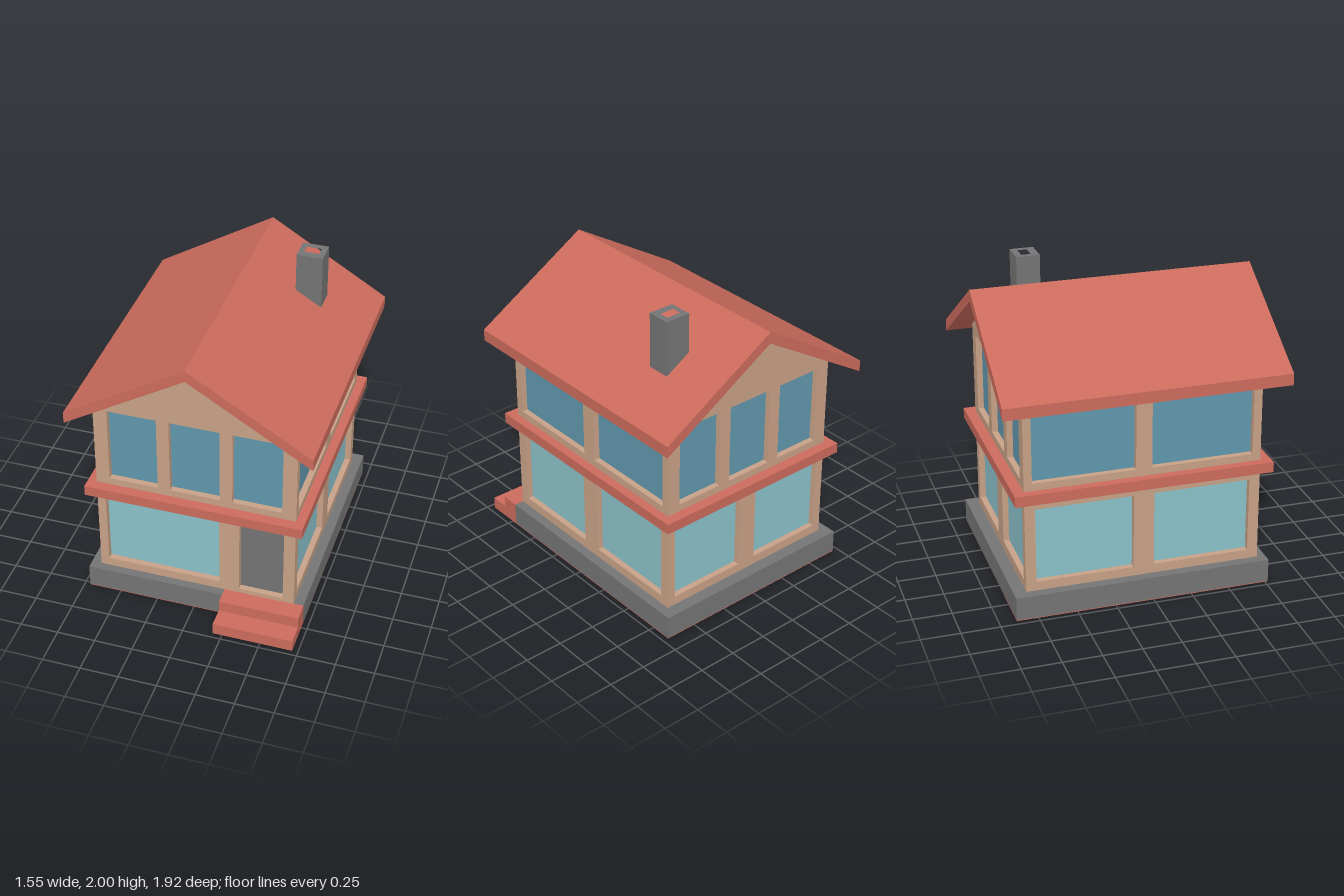
import * as THREE from 'three';

const mat = (name, color) => {
  const m = new THREE.MeshStandardMaterial({ color });
  m.name = name;
  return m;
};

export function createModel() {
  const house = new THREE.Group();
  house.name = 'house';
  const red = mat('roofRed', 0xcb6b5c);
  const tan = mat('wallTan', 0xc8a187);
  const gray = mat('stoneGray', 0x747474);
  const upperGlass = mat('upperGlass', 0x6197ad);
  const lowerGlass = mat('lowerGlass', 0x8ac1c9);

  const add = (parent, name, geo, material) => {
    const m = new THREE.Mesh(geo, material);
    m.name = name;
    parent.add(m);
    return m;
  };
  // Box given by its limits on each axis
  const box = (parent, name, material, [x0, x1], [y0, y1], [z0, z1]) => {
    const m = add(parent, name, new THREE.BoxGeometry(x1 - x0, y1 - y0, z1 - z0), material);
    m.position.set((x0 + x1) / 2, (y0 + y1) / 2, (z0 + z1) / 2);
    return m;
  };
  const poly = (pts) => new THREE.Shape(pts.map((p) => new THREE.Vector2(...p)));
  const rect = (x0, x1, y0, y1) => [[x0, y0], [x1, y0], [x1, y1], [x0, y1]];
  const extrude = (shape, depth) => new THREE.ExtrudeGeometry(shape, { depth, bevelEnabled: false });
  // Plan outline (x, z) raised from y0 to y1
  const slab = (name, material, outline, y0, y1, hole) => {
    const flip = (pts) => pts.map(([x, z]) => [x, -z]);
    const s = poly(flip(outline));
    if (hole) s.holes.push(poly(flip(hole)));
    const m = add(house, name, extrude(s, y1 - y0).rotateX(-Math.PI / 2), material);
    m.position.y = y0;
  };

  // Stone base, notched for the steps, over a red floor
  const plan = [[-0.713, -0.89], [0.712, -0.89], [0.712, 0.71], [0.19, 0.71], [0.19, 0.77], [-0.713, 0.77]];
  slab('floor', red, plan, 0, 0.005);
  slab('base', gray, plan, 0.005, 0.157);
  box(house, 'upperStep', red, [0.19, 0.712], [0, 0.157], [0.71, 0.835]);
  box(house, 'lowerStep', red, [0.19, 0.712], [0, 0.08], [0.835, 0.965]);

  // Walls: outer face on local z = 0, openings [x0, x1, y0, y1, material, name]
  const T = 0.04, W = 0.648, FRONT = 0.715, BACK = -0.81, EAVE = 1.46, PEAK = 1.85;
  const wall = (name, outline, openings, pos, turn) => {
    const g = new THREE.Group();
    g.name = name;
    const s = poly(outline);
    for (const [x0, x1, y0, y1, material, part] of openings) {
      s.holes.push(poly(rect(x0, x1, y0, y1)));
      box(g, part, material, [x0 - 0.002, x1 + 0.002], [y0 - 0.002, y1 + 0.002], [-T - 0.008, -T + 0.001]);
    }
    add(g, name + 'Panel', extrude(s, T).translate(0, 0, -T), tan);
    g.position.set(...pos);
    g.rotation.y = turn;
    house.add(g);
  };
  const upper = (x0, x1) => [x0, x1, 0.89, 1.41, upperGlass, 'upperWindow'];
  const lower = (x0, x1) => [x0, x1, 0.217, 0.714, lowerGlass, 'lowerWindow'];
  const gable = [[-W, 0.157], [W, 0.157], [W, EAVE], [0, PEAK], [-W, EAVE]];
  const three = [upper(-0.558, -0.241), upper(-0.161, 0.161), upper(0.241, 0.558)];
  const door = [0.287, 0.575, 0.188, 0.745, gray, 'door'];
  wall('frontWall', gable, [...three, lower(-0.592, 0.156), door], [0, 0, FRONT], 0);
  wall('backWall', gable, [...three, lower(-0.592, -0.065), lower(0.065, 0.592)], [0, 0, BACK], Math.PI);

  // Side walls share the same openings, mirrored
  for (const side of [1, -1]) {
    const span = (a, b) => (side > 0 ? [-b, -a] : [a, b]);
    wall(side > 0 ? 'leftWall' : 'rightWall',
      rect(...span(BACK + T, FRONT - T), 0.157, EAVE),
      [upper(...span(0.003, 0.661)), upper(...span(-0.758, -0.101)),
        lower(...span(-0.018 + 0.036, 0.646)), lower(...span(-0.743, -0.115))],
      [side * W, 0, 0], side * Math.PI / 2);
  }

  // Ledge between the storeys
  box(house, 'ledge', red, [-0.705, 0.705], [0.773, 0.842], [-0.878, 0.783]);

  // Gabled roof
  const roof = poly([[-0.777, 1.38], [0, 1.85], [0.777, 1.38], [0.777, 1.456], [0, 1.925], [-0.777, 1.456]]);
  add(house, 'roof', extrude(roof, 1.82), red).position.z = -0.958;

  // Hollow chimney
  slab('chimney', gray, rect(0.302, 0.472, -0.588, -0.434), 1.6, 2, rect(0.337, 0.434, -0.546, -0.485));
  box(house, 'chimneyFlue', tan, [0.335, 0.436], [1.73, 1.738], [-0.548, -0.483]);

  return house;
}
